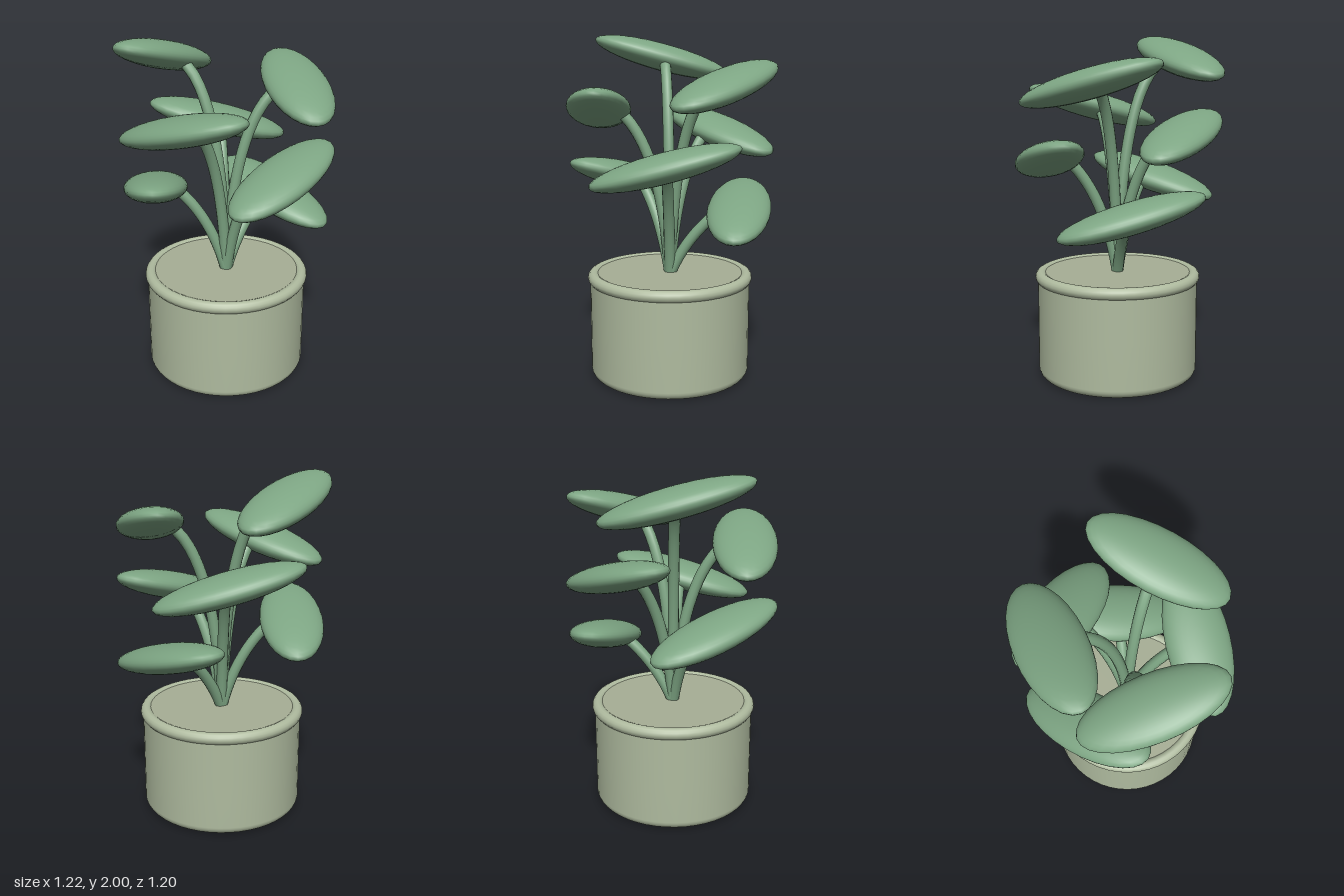
import * as THREE from 'three';

const material = (name, color) => {
  const m = new THREE.MeshStandardMaterial({ color });
  m.name = name;
  return m;
};

export function createModel() {
  const clay = material('pale sage clay', 0xafbb9f);
  const soilColor = material('muted soil', 0xa7ae95);
  const green = material('leaf green', 0x7da583);

  const model = new THREE.Group();
  model.name = 'pottedPlant';
  const plant = new THREE.Group();
  plant.position.set(-0.005, 0, 0.017);
  model.add(plant);

  const add = (name, geometry, mat, parent = plant) => {
    const mesh = new THREE.Mesh(geometry, mat);
    mesh.name = name;
    parent.add(mesh);
    return mesh;
  };

  // Pot body with a rounded foot
  const profile = [new THREE.Vector2(0, 0), new THREE.Vector2(0.2, 0)];
  for (let i = 0; i <= 6; i++) {
    const a = (i / 6) * Math.PI / 2;
    profile.push(new THREE.Vector2(0.42 + 0.05 * Math.sin(a), 0.05 - 0.05 * Math.cos(a)));
  }
  profile.push(new THREE.Vector2(0.47, 0.3), new THREE.Vector2(0.47, 0.59));
  add('pot', new THREE.LatheGeometry(profile, 48), clay);

  // Rolled rim
  const rim = add('rim', new THREE.TorusGeometry(0.449, 0.035, 14, 48), clay);
  rim.rotation.x = Math.PI / 2;
  rim.position.y = 0.597;

  // Soil surface
  const soil = add('soil', new THREE.CylinderGeometry(0.435, 0.435, 0.04, 48), soilColor);
  soil.position.y = 0.602;

  // Leaves climb in a golden-angle spiral, each on its own bent stem
  const leafShape = new THREE.SphereGeometry(1, 28, 18);
  const tipShape = new THREE.SphereGeometry(0.032, 12, 8);
  for (let i = 0; i < 7; i++) {
    const y = 1.006 + 0.1433 * i;
    const branch = new THREE.Group();
    branch.name = `branch${i + 1}`;
    branch.rotation.y = THREE.MathUtils.degToRad(137.5 * i);
    plant.add(branch);

    const base = new THREE.Vector3(0, 0.6, 0);
    const end = new THREE.Vector3(0.26, y - 0.04, 0);
    const bend = new THREE.Vector3(0.09 - 0.011 * i, 0.6 + (end.y - 0.6) * (0.6 + 0.04 * i), 0);
    const path = new THREE.QuadraticBezierCurve3(base, bend, end);
    add('stem', new THREE.TubeGeometry(path, 18, 0.032, 12), green, branch);
    add('stemTip', tipShape, green, branch).position.copy(end);

    const leaf = add('leaf', leafShape, green, branch);
    leaf.scale.set(0.184, 0.083, 0.425);
    leaf.rotation.x = THREE.MathUtils.degToRad(15);
    leaf.position.set(0.405, y, 0);
  }
  return model;
}
